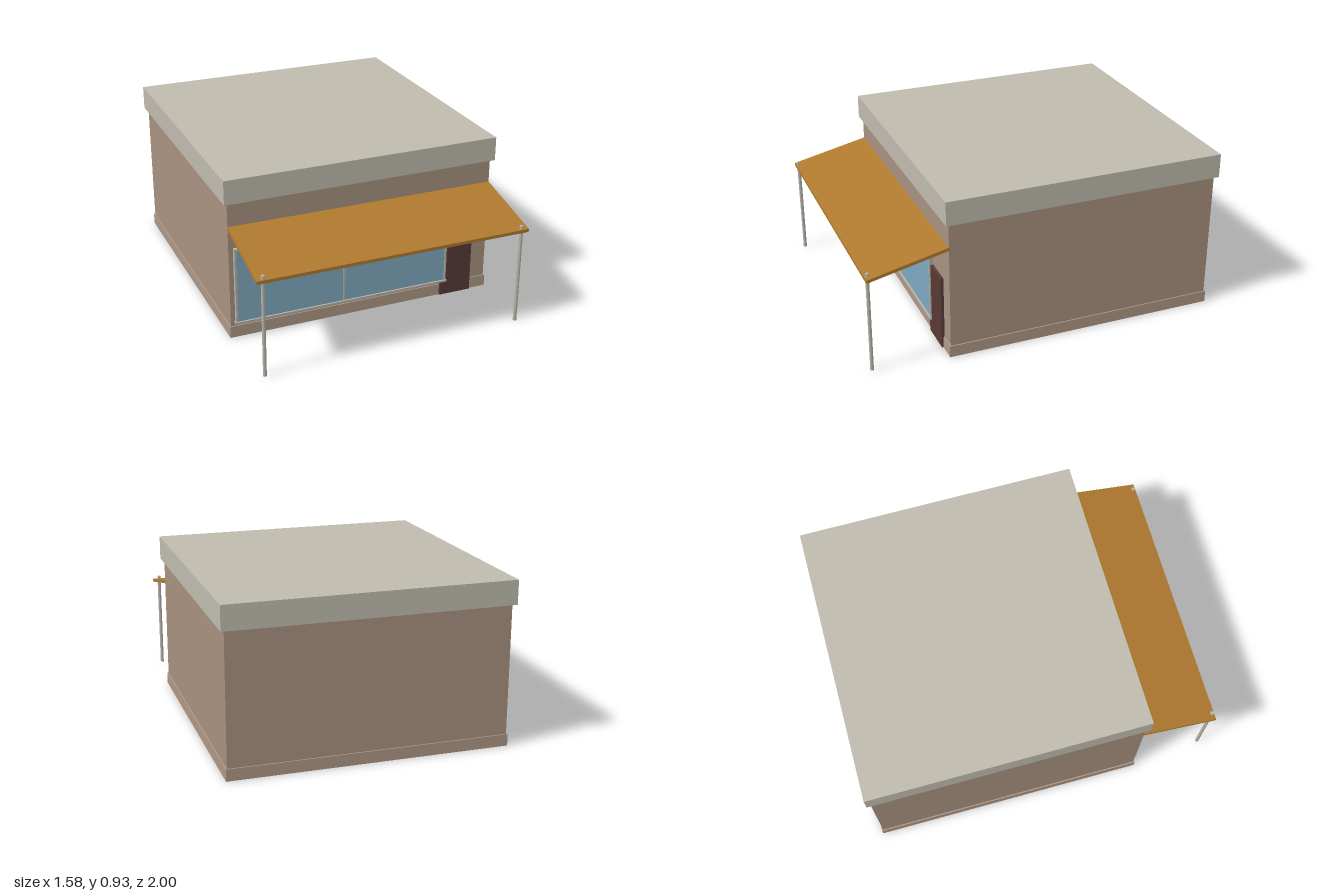
import * as THREE from 'three';

const mat = (name, color) => {
  const m = new THREE.MeshStandardMaterial({ color });
  m.name = name;
  return m;
};

export function createModel() {
  const group = new THREE.Group();
  group.name = 'shop';

  const wall = mat('wall brown', 0xa8917f);
  const base = mat('plinth brown', 0xae9785);
  const concrete = mat('roof grey', 0xbfbbae);
  const ochre = mat('awning ochre', 0xb07a30);
  const glass = mat('glass blue', 0x7fa8bf);
  const doorBrown = mat('door brown', 0x583a36);
  const metal = mat('metal grey', 0xb5b2a8);

  // Box given by its min and max corners
  const box = (name, material, [x0, y0, z0], [x1, y1, z1]) => {
    const mesh = new THREE.Mesh(new THREE.BoxGeometry(x1 - x0, y1 - y0, z1 - z0), material);
    mesh.position.set((x0 + x1) / 2, (y0 + y1) / 2, (z0 + z1) / 2);
    mesh.name = name;
    group.add(mesh);
    return mesh;
  };

  // Building shell
  box('walls', wall, [-0.77, 0.005, -0.98], [0.77, 0.8, 0.56]);
  box('plinth', base, [-0.777, 0, -0.987], [0.777, 0.066, 0.567]);
  box('roof', concrete, [-0.79, 0.79, -1], [0.79, 0.925, 0.58]);

  // Door, partly behind the window frame
  box('door', doorBrown, [0.48, 0.001, 0.55], [0.673, 0.425, 0.576]);

  // Shop window: pane, frame, mullion and sill
  const left = -0.745, right = 0.512, bottom = 0.093, top = 0.53, bar = 0.011;
  box('windowPane', glass, [left + 0.004, bottom, 0.55], [right - 0.004, top - 0.004, 0.578]);
  box('windowFrameTop', metal, [left, top - bar, 0.55], [right, top, 0.583]);
  for (const x of [left, right - bar]) {
    box('windowFrameSide', metal, [x, bottom, 0.55], [x + bar, top, 0.583]);
  }
  box('windowMullion', metal, [-0.121, bottom, 0.55], [-0.113, top, 0.582]);
  box('windowSill', metal, [left - 0.005, 0.086, 0.55], [right + 0.005, 0.097, 0.588]);

  // Sloping awning: side profile in (z, y), extruded along x
  const profile = new THREE.Shape([
    [0.555, 0.639], [1, 0.539], [1, 0.557], [0.555, 0.657],
  ].map(([z, y]) => new THREE.Vector2(-z, y)));
  const awningGeometry = new THREE.ExtrudeGeometry(profile, { depth: 1.54, bevelEnabled: false });
  awningGeometry.translate(0, 0, -0.77).rotateY(Math.PI / 2);
  const awning = new THREE.Mesh(awningGeometry, ochre);
  awning.name = 'awning';
  group.add(awning);

  // Posts passing through the awning's front corners
  for (const side of [-1, 1]) {
    const post = new THREE.Mesh(new THREE.CylinderGeometry(0.01, 0.01, 0.577, 12), metal);
    post.position.set(side * 0.733, 0.2885, 0.985);
    post.name = 'awningPost';
    group.add(post);
  }
  return group;
}
